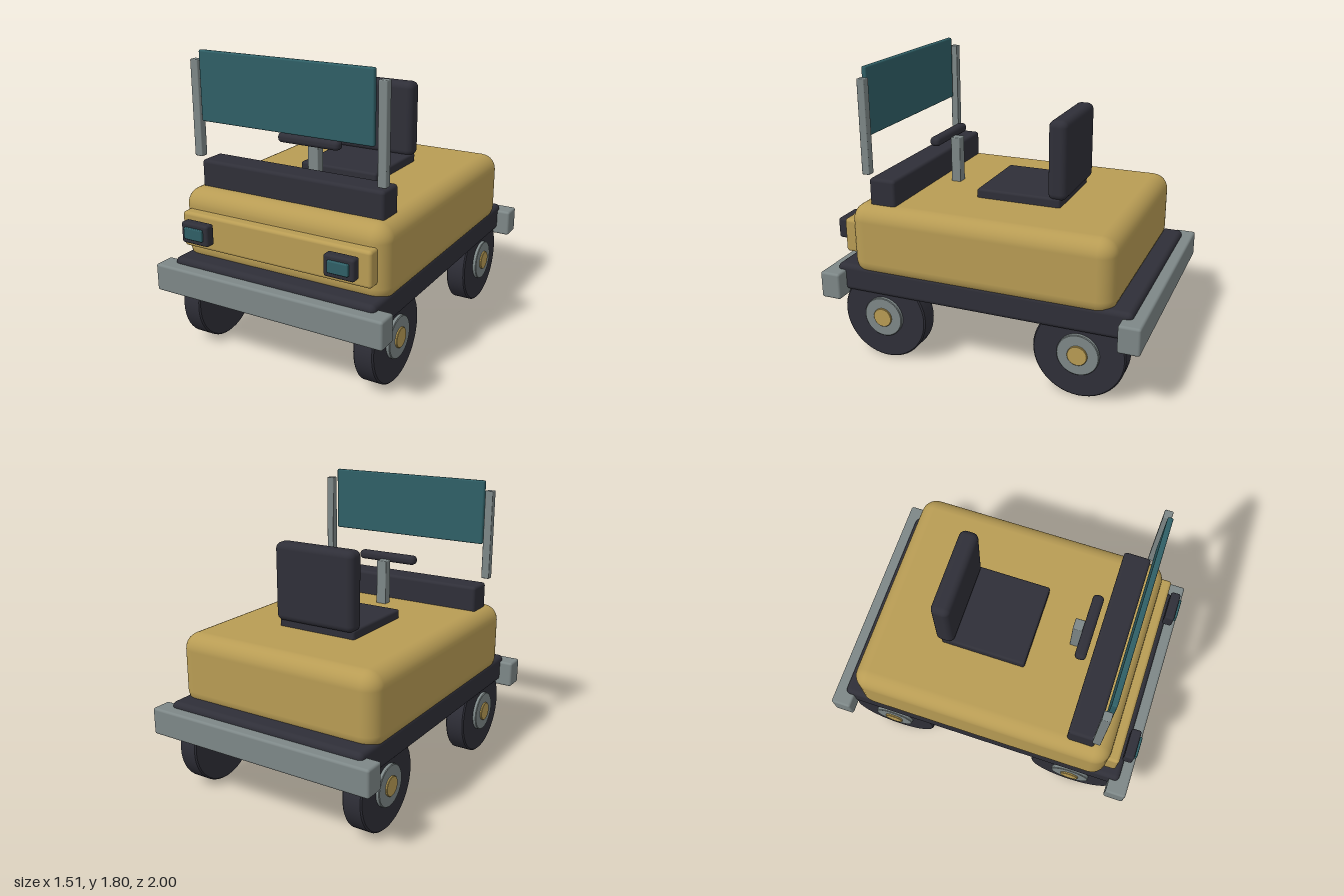
import * as THREE from 'three';
import { RoundedBoxGeometry } from 'three/addons/geometries/RoundedBoxGeometry.js';

const material = (name, color) => {
  const m = new THREE.MeshStandardMaterial({ color });
  m.name = name;
  return m;
};

export function createModel() {
  const gold = material('gold paint', 0xb89c54);
  const dark = material('dark rubber', 0x2f2f38);
  const grey = material('grey metal', 0x7d8787);
  const teal = material('teal glass', 0x2f5f66);

  const model = new THREE.Group();
  model.name = 'cart';

  // Rounded box given by its extents on each axis
  function box(name, mat, [x0, x1], [y0, y1], [z0, z1], radius) {
    const geo = new RoundedBoxGeometry(x1 - x0, y1 - y0, z1 - z0, 4, radius);
    const mesh = new THREE.Mesh(geo, mat);
    mesh.name = name;
    mesh.position.set((x0 + x1) / 2, (y0 + y1) / 2, (z0 + z1) / 2);
    model.add(mesh);
  }
  const both = (w) => [-w, w];
  const sided = (s, a, b) => (s > 0 ? [a, b] : [-b, -a]);

  // Body and chassis
  box('chassis', dark, both(0.67), [0.42, 0.59], both(0.93), 0.03);
  box('body', gold, both(0.682), [0.53, 0.987], both(0.822), 0.1);
  box('frontPanel', gold, both(0.627), [0.66, 0.873], [0.8, 0.885], 0.02);
  box('frontBumper', grey, both(0.755), [0.387, 0.555], [0.87, 1], 0.015);
  box('rearBumper', grey, both(0.755), [0.387, 0.555], [-1, -0.87], 0.015);

  // Dashboard and steering
  box('dashboard', dark, both(0.605), [0.95, 1.145], [0.54, 0.71], 0.02);
  box('steeringColumn', grey, both(0.035), [0.95, 1.275], [0.385, 0.447], 0.006);
  box('steeringBar', dark, both(0.207), [1.255, 1.313], [0.443, 0.51], 0.025);

  // Seat
  box('seat', dark, both(0.267), [0.96, 1.042], [-0.37, 0.165], 0.015);
  box('seatBack', dark, both(0.275), [1.028, 1.51], [-0.405, -0.288], 0.04);

  // Windscreen
  box('windscreen', teal, both(0.56), [1.39, 1.8], [0.713, 0.745], 0.01);

  for (const s of [1, -1]) {
    box('windscreenPost', grey, sided(s, 0.578, 0.63), [1.173, 1.742], [0.688, 0.737], 0.006);
    box('headlight', dark, sided(s, 0.382, 0.57), [0.718, 0.846], [0.905, 0.967], 0.015);
    box('headlightLens', teal, sided(s, 0.413, 0.541), [0.75, 0.82], [0.95, 0.983], 0.006);
  }

  // Disc along x with a small bevel on both rims
  function disc(name, mat, radius, x0, x1, bevel) {
    const h = (x1 - x0) / 2;
    const profile = [[0, -h], [radius - bevel, -h], [radius - bevel, -h], [radius, bevel - h],
      [radius, bevel - h], [radius, h - bevel], [radius, h - bevel], [radius - bevel, h],
      [radius - bevel, h], [0, h]].map(([r, y]) => new THREE.Vector2(r, y));
    // Separate segments keep the rim edges crisp
    const part = new THREE.Group();
    part.name = name;
    for (let i = 0; i < profile.length; i += 2) {
      part.add(new THREE.Mesh(new THREE.LatheGeometry([profile[i], profile[i + 1]], 48), mat));
    }
    part.rotation.z = -Math.PI / 2;
    part.position.x = (x0 + x1) / 2;
    return part;
  }

  // Wheels, hubs facing outwards
  for (const s of [1, -1]) {
    for (const z of [0.625, -0.625]) {
      const wheel = new THREE.Group();
      wheel.name = 'wheel';
      wheel.add(
        disc('tyre', dark, 0.276, 0.525, 0.65, 0.008),
        disc('hub', grey, 0.126, 0.6, 0.672, 0.004),
        disc('hubCap', gold, 0.06, 0.64, 0.683, 0.003),
      );
      wheel.position.set(0, 0.278, z);
      wheel.rotation.y = s > 0 ? 0 : Math.PI;
      model.add(wheel);
    }
  }
  return model;
}
